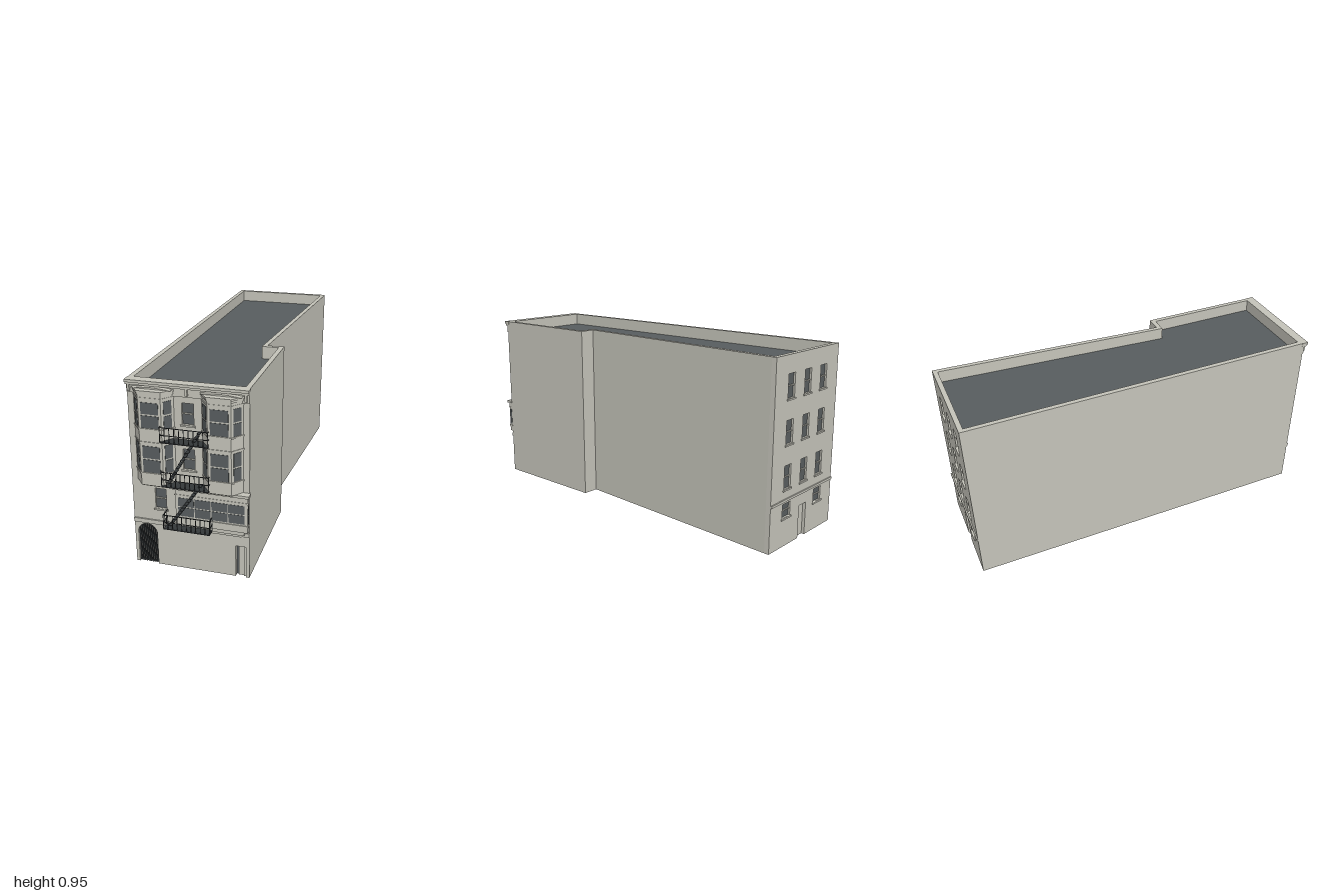
import * as THREE from 'three';

const stone = new THREE.MeshStandardMaterial({ color: 0xc5c4ba });
stone.name = 'pale stone';
const slate = new THREE.MeshStandardMaterial({ color: 0x585d5f });
slate.name = 'slate and glass';
const iron = new THREE.MeshStandardMaterial({ color: 0x34383a });
iron.name = 'dark iron';

const FRONT = 0.93, BACK = -0.99, THICK = 0.025, TOP = 0.95;

function add(parent, name, geometry, material) {
  const mesh = new THREE.Mesh(geometry, material);
  mesh.name = name;
  parent.add(mesh);
  return mesh;
}

// Box given by its limits on each axis
function box(parent, name, mat, x0, x1, y0, y1, z0, z1) {
  const mesh = add(parent, name, new THREE.BoxGeometry(x1 - x0, y1 - y0, z1 - z0), mat);
  mesh.position.set((x0 + x1) / 2, (y0 + y1) / 2, (z0 + z1) / 2);
  return mesh;
}

// Upright prism over a plan of [x, z] points
function prism(parent, name, mat, plan, y0, y1) {
  const shape = new THREE.Shape(plan.map(([x, z]) => new THREE.Vector2(x, -z)));
  const geo = new THREE.ExtrudeGeometry(shape, { depth: y1 - y0, bevelEnabled: false });
  geo.rotateX(-Math.PI / 2).translate(0, y0, 0);
  return add(parent, name, geo, mat);
}

// Wall with doorways [x0, x1, top, arched] open to the ground and window holes [x0, x1, y0, y1]
function wall(parent, name, x0, x1, z, doors, windows) {
  const s = new THREE.Shape();
  s.moveTo(x0, 0);
  for (const [a, b, top, arched] of doors) {
    s.lineTo(a, 0);
    if (arched) {
      const r = (b - a) / 2;
      s.lineTo(a, top - r);
      s.absarc(a + r, top - r, r, Math.PI, 0, true);
    } else {
      s.lineTo(a, top);
      s.lineTo(b, top);
    }
    s.lineTo(b, 0);
  }
  s.lineTo(x1, 0);
  s.lineTo(x1, TOP);
  s.lineTo(x0, TOP);
  s.closePath();
  for (const [a, b, c, d] of windows) {
    const p = new THREE.Path();
    p.moveTo(a, c);
    p.lineTo(a, d);
    p.lineTo(b, d);
    p.lineTo(b, c);
    p.closePath();
    s.holes.push(p);
  }
  const geo = new THREE.ExtrudeGeometry(s, { depth: THICK, bevelEnabled: false, curveSegments: 16 });
  geo.translate(0, 0, z);
  add(parent, name, geo, stone);
}

// Recessed sash window with a meeting rail and a sill; dir is +1 on the front, -1 on the back
function sash(parent, [a, b, c, d], face, dir) {
  const zs = (p, q) => [face + dir * p, face + dir * q].sort((m, n) => m - n);
  const mid = (c + d) / 2;
  box(parent, 'windowGlass', slate, a, b, c, d, ...zs(-0.016, -0.01));
  box(parent, 'windowRail', stone, a, b, mid - 0.003, mid + 0.003, ...zs(-0.012, -0.005));
  box(parent, 'windowSill', stone, a - 0.008, b + 0.008, c - 0.009, c - 0.001, ...zs(-0.01, 0.006));
}

// Plan of a bay, grown outwards by g
const bayPlan = (g) => [
  [-0.096 - g, FRONT - 0.005], [-0.096 - g, FRONT], [-0.054 - g * 0.5, 0.982 + g],
  [0.054 + g * 0.5, 0.982 + g], [0.096 + g, FRONT], [0.096 + g, FRONT - 0.005],
].reverse();

function makeBay(x) {
  const bay = new THREE.Group();
  bay.name = 'bayWindow';
  bay.position.x = x;
  prism(bay, 'bayBody', stone, bayPlan(0), 0.452, 0.9);
  const bands = [[0.438, 0.446, -0.025], [0.446, 0.456, -0.008], [0.51, 0.517, 0.004],
    [0.664, 0.671, 0.003], [0.729, 0.736, 0.004], [0.876, 0.883, 0.002],
    [0.896, 0.907, 0.004], [0.907, 0.916, 0.008]];
  for (const [y0, y1, g] of bands) prism(bay, 'bayMoulding', stone, bayPlan(g), y0, y1);
  // Shallow curved crown
  const arc = new THREE.Shape();
  arc.moveTo(-0.095, 0.915);
  arc.quadraticCurveTo(0, 0.932, 0.095, 0.915);
  const crown = new THREE.ExtrudeGeometry(arc, { depth: 0.03, bevelEnabled: false });
  add(bay, 'bayCrown', crown.translate(0, 0, FRONT), stone);
  // Panes on the front and both slanted faces
  const slant = Math.atan2(0.042, 0.052);
  const faces = [[0, 0.9825, 0, 0.084], [0.075, 0.9562, Math.PI / 2 - slant, 0.041],
    [-0.075, 0.9562, slant - Math.PI / 2, 0.041]];
  for (const [px, pz, turn, w] of faces) {
    const face = new THREE.Group();
    face.name = 'bayPanes';
    face.position.set(px, 0, pz);
    face.rotation.y = turn;
    bay.add(face);
    const up = turn ? 0.007 : 0;
    for (const [y0, y1] of [[0.52, 0.583], [0.59, 0.65 + up], [0.738, 0.798], [0.805, 0.86 + up]])
      box(face, 'bayPane', slate, -w / 2, w / 2, y0, y1, -0.003, 0.0015);
  }
  return bay;
}

// Wide second floor oriel
function makeOriel() {
  const g = new THREE.Group();
  g.name = 'oriel';
  box(g, 'orielBody', stone, -0.064, 0.284, 0.255, 0.437, FRONT - 0.005, 0.955);
  box(g, 'orielCap', stone, -0.075, 0.292, 0.437, 0.45, FRONT - 0.005, 0.965);
  box(g, 'orielFrieze', stone, -0.068, 0.287, 0.405, 0.41, FRONT, 0.957);
  box(g, 'orielSill', stone, -0.067, 0.287, 0.286, 0.293, FRONT, 0.959);
  box(g, 'orielBase', stone, -0.05, 0.265, 0.235, 0.255, FRONT - 0.005, 0.948);
  box(g, 'orielFoot', stone, -0.033, 0.25, 0.222, 0.235, FRONT - 0.005, 0.942);
  for (const [y0, y1] of [[0.3, 0.345], [0.35, 0.394]]) {
    for (let i = 0; i < 4; i++) {
      const x = -0.051 + i * 0.081;
      box(g, 'orielPane', slate, x, x + 0.077, y0, y1, 0.952, 0.9565);
    }
    for (const x of [-0.064, 0.284])
      box(g, 'orielSidePane', slate, x - 0.0015, x + 0.0015, y0, y1, 0.935, 0.951);
  }
  return g;
}

function makeFireEscape() {
  const g = new THREE.Group();
  g.name = 'fireEscape';
  const X = 0.113, Z0 = 0.935, Z1 = 0.995, t = 0.0015;
  for (const y of [0.24, 0.46, 0.68]) {
    box(g, 'platform', iron, -X, X, y - 0.002, y + 0.002, Z0, Z1);
    for (const h of [0.036, 0.073]) {
      box(g, 'frontRail', iron, -X, X, y + h - t, y + h + t, Z1 - 2 * t, Z1);
      for (const x of [-X, X]) box(g, 'endRail', iron, x - t, x + t, y + h - t, y + h + t, Z0, Z1);
    }
    for (let i = 0; i <= 10; i++) {
      const x = -X + (i * X) / 5;
      box(g, 'baluster', iron, x - t, x + t, y, y + 0.073, Z1 - 2 * t, Z1);
    }
    for (const x of [-X, X]) for (const z of [0.955, 0.975])
      box(g, 'endBaluster', iron, x - t, x + t, y, y + 0.073, z - t, z + t);
  }
  // Two flights of open treads
  for (const [y0, y1] of [[0.255, 0.475], [0.475, 0.735]])
    for (let i = 0; i < 14; i++) {
      const x = -0.085 + (0.15 * i) / 13, y = y0 + ((y1 - y0) * i) / 13;
      box(g, 'stairTread', iron, x - 0.008, x + 0.008, y - t, y + t, 0.95, 0.982);
    }
  return g;
}

export function createModel() {
  const model = new THREE.Group();
  model.name = 'townBuilding';

  // Side walls; the right one steps in and slants towards the back
  prism(model, 'sideWall', stone,
    [[-0.296, -0.965], [-0.287, 0.905], [-0.262, 0.905], [-0.272, -0.965]], 0, TOP);
  prism(model, 'steppedSideWall', stone, [[0.276, -0.965], [0.252, -0.965], [0.175, 0.292],
    [0.262, 0.292], [0.262, 0.905], [0.286, 0.905], [0.286, 0.267], [0.2, 0.267]], 0, TOP);
  prism(model, 'roof', slate, [[-0.273, -0.97], [0.254, -0.97], [0.177, 0.29],
    [0.265, 0.29], [0.265, 0.907], [-0.264, 0.907]], 0.875, 0.885);

  // Front wall with its gate, door and windows
  const frontWindows = [[-0.028, 0.028, 0.752, 0.855], [-0.028, 0.028, 0.53, 0.632],
    [-0.174, -0.119, 0.308, 0.413]];
  wall(model, 'frontWall', -0.287, 0.286, FRONT - THICK,
    [[-0.271, -0.173, 0.215, true], [0.219, 0.27, 0.165, false]], frontWindows);
  for (const w of frontWindows) sash(model, w, FRONT, 1);

  // Barred gate
  box(model, 'gateBacking', stone, -0.28, -0.165, 0, 0.24, 0.902, 0.906);
  box(model, 'gateLining', slate, -0.282, -0.163, 0, 0.245, 0.896, 0.902);
  for (let i = 0; i < 10; i++) {
    const x = -0.267 + i * 0.01, r = 0.049;
    const top = 0.166 + Math.sqrt(Math.max(0, r * r - (x + 0.222) ** 2));
    box(model, 'gateBar', iron, x - 0.003, x + 0.003, 0, top, 0.914, 0.921);
  }
  box(model, 'gateRail', iron, -0.271, -0.173, 0.004, 0.01, 0.914, 0.922);

  // Front and back doors, each with a narrow side light
  box(model, 'frontDoorLining', slate, 0.219, 0.27, 0, 0.165, 0.9, 0.908);
  box(model, 'frontDoor', stone, 0.23, 0.27, 0, 0.165, 0.906, 0.914);
  box(model, 'frontDoorPost', stone, 0.258, 0.27, 0, 0.165, 0.912, 0.921);
  box(model, 'backDoorLining', slate, -0.05, 0.015, 0, 0.173, -0.968, -0.96);
  box(model, 'backDoor', stone, -0.05, 0.003, 0, 0.173, -0.974, -0.966);

  // Back wall with three floors of windows over a basement
  const backWindows = [[0.1, 0.17, 0.15, 0.222], [-0.192, -0.122, 0.15, 0.222]];
  for (const x of [0.137, -0.01, -0.157])
    for (const y of [0.297, 0.52, 0.742]) backWindows.push([x - 0.029, x + 0.029, y, y + 0.118]);
  wall(model, 'backWall', -0.296, 0.276, BACK, [[-0.05, 0.015, 0.173, false]], backWindows);
  for (const w of backWindows) sash(model, w, BACK, -1);
  box(model, 'backStringCourse', stone, -0.296, 0.276, 0.234, 0.246, -0.997, BACK);

  // Front string course, cornice and brackets
  box(model, 'stringCourse', stone, -0.287, 0.286, 0.222, 0.243, FRONT, 0.937);
  box(model, 'corniceTop', stone, -0.289, 0.288, 0.937, TOP, FRONT - 0.01, 0.955);
  box(model, 'corniceStep', stone, -0.288, 0.287, 0.925, 0.937, FRONT - 0.01, 0.947);
  box(model, 'frieze', stone, -0.287, 0.286, 0.884, 0.925, FRONT, 0.935);
  for (const x of [-0.274, 0, 0.272])
    box(model, 'corniceBracket', stone, x - 0.005, x + 0.005, 0.893, 0.925, FRONT, 0.947);

  for (const x of [-0.161, 0.162]) model.add(makeBay(x));
  model.add(makeOriel(), makeFireEscape());
  return model;
}
